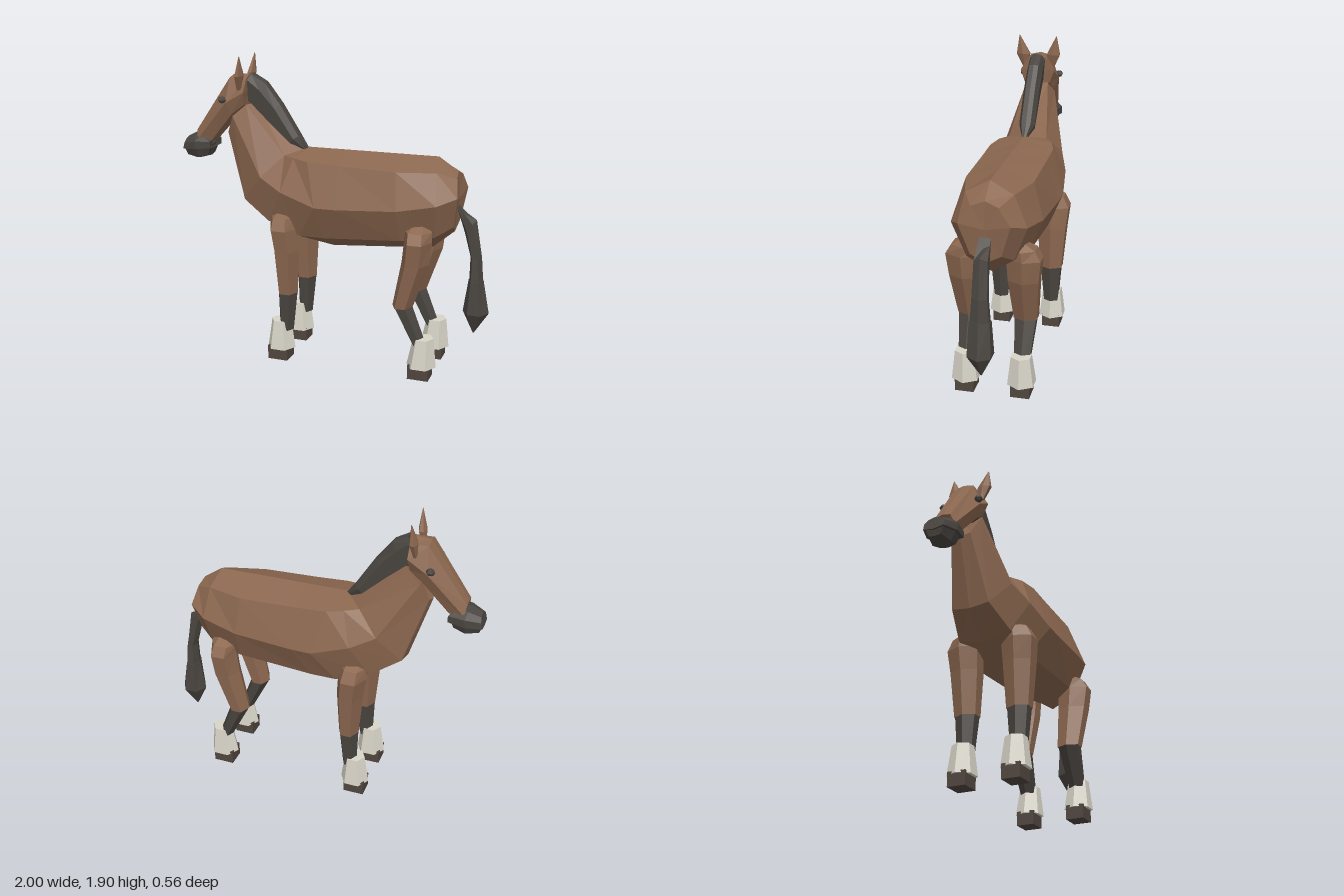
import * as THREE from 'three';

const mat = (color) => new THREE.MeshStandardMaterial({ color, flatShading: true });

// Skin a list of equal-length rings of [x, y, z] points, closing both ends.
function loft(rings) {
  const n = rings[0].length;
  const tris = [];
  const centre = (r) => [0, 1, 2].map((k) => r.reduce((s, p) => s + p[k], 0) / n);
  const first = centre(rings[0]);
  const last = centre(rings[rings.length - 1]);
  for (let j = 0; j < n; j++) {
    const k = (j + 1) % n;
    tris.push([first, rings[0][k], rings[0][j]]);
    tris.push([last, rings[rings.length - 1][j], rings[rings.length - 1][k]]);
    for (let i = 0; i + 1 < rings.length; i++) {
      const a = rings[i], b = rings[i + 1];
      tris.push([a[j], a[k], b[k]], [a[j], b[k], b[j]]);
    }
  }
  // A negative volume means the faces point inwards, so turn them round.
  let volume = 0;
  for (const [a, b, c] of tris) {
    const [u, v, w] = [a, b, c].map((p) => new THREE.Vector3(...p).sub(new THREE.Vector3(...first)));
    volume += u.dot(v.cross(w));
  }
  if (volume < 0) tris.forEach((t) => t.reverse());
  const geo = new THREE.BufferGeometry();
  geo.setAttribute('position', new THREE.Float32BufferAttribute(tris.flat(2), 3));
  geo.computeVertexNormals();
  return geo;
}

// Half section (top, sides, bottom) mirrored in z to a full ring.
function mirrored(half) {
  const left = half.slice(1, -1).reverse().map(([x, y, z]) => [x, y, -z]);
  return [...half, ...left];
}

// Hexagonal ring: centre, half extents in x and z, slope of the ring plane along x.
function hex([x, y, z, rx, rz, slope = 0]) {
  return Array.from({ length: 6 }, (_, i) => {
    const a = (i * Math.PI) / 3;
    const dx = Math.cos(a) * rx;
    return [x + dx, y + dx * slope, z + (Math.sin(a) * rz) / 0.866];
  });
}

export function createModel() {
  const horse = new THREE.Group();
  horse.name = 'horse';
  const brown = mat(0x8b674f), dark = mat(0x4a4540), white = mat(0xd8d4c8), hoofMat = mat(0x51463f);
  const add = (name, geo, material, parent = horse) => {
    const mesh = new THREE.Mesh(geo, material);
    mesh.name = name;
    parent.add(mesh);
    return mesh;
  };

  // Neck and trunk, from the throat to the rump
  add('body', loft([
    [[-0.5, 1.61, 0], [-0.55, 1.6, 0.07], [-0.63, 1.53, 0.1], [-0.68, 1.42, 0.06], [-0.69, 1.4, 0]],
    [[-0.18, 1.34, 0], [-0.28, 1.31, 0.12], [-0.41, 1.18, 0.2], [-0.55, 1.01, 0.12], [-0.56, 0.99, 0]],
    [[-0.16, 1.35, 0], [-0.2, 1.31, 0.17], [-0.26, 1.11, 0.25], [-0.37, 0.9, 0.17], [-0.37, 0.85, 0]],
    [[-0.08, 1.35, 0], [-0.1, 1.3, 0.2], [-0.03, 1.04, 0.28], [-0.16, 0.83, 0.19], [-0.16, 0.76, 0]],
    [[0.1, 1.35, 0], [0.1, 1.29, 0.2], [0.1, 1.04, 0.277], [0, 0.83, 0.19], [0, 0.73, 0]],
    [[0.45, 1.35, 0], [0.45, 1.28, 0.2], [0.47, 1.06, 0.26], [0.48, 0.86, 0.18], [0.49, 0.77, 0]],
    [[0.66, 1.35, 0], [0.68, 1.28, 0.14], [0.7, 1.1, 0.22], [0.68, 0.89, 0.14], [0.64, 0.79, 0]],
    [[0.78, 1.27, 0], [0.79, 1.24, 0.08], [0.81, 1.14, 0.15], [0.78, 0.95, 0.09], [0.77, 0.9, 0]],
  ].map(mirrored)), brown);

  // Head, tapering down to the muzzle
  add('head', loft([
    [[-0.55, 1.785, 0], [-0.55, 1.76, 0.06], [-0.55, 1.68, 0.11], [-0.56, 1.6, 0.08], [-0.56, 1.58, 0]],
    [[-0.66, 1.775, 0], [-0.66, 1.76, 0.065], [-0.67, 1.61, 0.12], [-0.64, 1.54, 0.09], [-0.64, 1.52, 0]],
    [[-0.9, 1.43, 0], [-0.9, 1.42, 0.05], [-0.89, 1.36, 0.075], [-0.8, 1.355, 0.06], [-0.8, 1.35, 0]],
  ].map(mirrored)), brown);

  // Upper and lower lips
  add('upperLip', loft([
    [[-0.86, 1.4, 0], [-0.86, 1.39, 0.06], [-0.8, 1.35, 0.085], [-0.8, 1.31, 0.085], [-0.81, 1.3, 0]],
    [[-0.92, 1.4, 0], [-0.91, 1.385, 0.06], [-0.9, 1.35, 0.1], [-0.9, 1.3, 0.1], [-0.9, 1.29, 0]],
    [[-0.985, 1.365, 0], [-0.985, 1.355, 0.04], [-0.99, 1.33, 0.065], [-1, 1.29, 0.065], [-1, 1.28, 0]],
  ].map(mirrored)), dark);
  add('lowerLip', loft([
    [[-0.81, 1.33, 0], [-0.81, 1.32, 0.07], [-0.83, 1.26, 0.05], [-0.83, 1.25, 0]],
    [[-0.9, 1.31, 0], [-0.9, 1.3, 0.085], [-0.9, 1.24, 0.06], [-0.9, 1.23, 0]],
    [[-0.99, 1.3, 0], [-0.99, 1.29, 0.055], [-0.98, 1.25, 0.04], [-0.98, 1.245, 0]],
  ].map(mirrored)), dark);

  // Mane along the crest of the neck
  add('mane', loft([
    [[-0.53, 1.79, 0], [-0.53, 1.785, 0.03], [-0.55, 1.75, 0.05], [-0.55, 1.62, 0.04], [-0.55, 1.6, 0]],
    [[-0.44, 1.74, 0], [-0.44, 1.735, 0.03], [-0.47, 1.69, 0.05], [-0.51, 1.58, 0.04], [-0.51, 1.56, 0]],
    [[-0.34, 1.61, 0], [-0.34, 1.605, 0.03], [-0.37, 1.58, 0.05], [-0.42, 1.48, 0.04], [-0.42, 1.46, 0]],
    [[-0.22, 1.42, 0], [-0.22, 1.415, 0.03], [-0.25, 1.4, 0.05], [-0.3, 1.33, 0.04], [-0.3, 1.32, 0]],
    [[-0.165, 1.345, 0], [-0.165, 1.34, 0.01], [-0.18, 1.33, 0.015], [-0.22, 1.3, 0.01], [-0.22, 1.29, 0]],
  ].map(mirrored)), dark);

  // Tail, flaring into a pointed tuft
  add('tail', loft([
    [0.8, 1.04, 0, 0.025, 0.035, -1.2], [0.865, 0.94, 0, 0.035, 0.04, 1.2], [0.905, 0.75, 0, 0.035, 0.045],
    [0.91, 0.61, 0, 0.042, 0.055],
  ].map(hex)), dark);
  add('tailTuft', loft([
    [0.91, 0.61, 0, 0.045, 0.06], [0.915, 0.4, 0, 0.08, 0.07], [0.905, 0.265, 0, 0.004, 0.004],
  ].map(hex)), dark);

  // Shoulder-to-knee, shin, sock and hoof measurements for each pair of legs
  const legs = {
    front: {
      upper: [[-0.265, 0.98, 0.14, 0.05, 0.03], [-0.27, 0.94, 0.17, 0.08, 0.075],
        [-0.265, 0.87, 0.18, 0.09, 0.1], [-0.25, 0.73, 0.175, 0.085, 0.09], [-0.245, 0.45, 0.17, 0.065, 0.07]],
      shin: [[-0.245, 0.46, 0.17, 0.064, 0.065], [-0.255, 0.2, 0.17, 0.045, 0.045]],
      sock: [[-0.29, 0.26, 0.17, 0.065, 0.057], [-0.292, 0.075, 0.17, 0.092, 0.078]],
      hoofX: -0.3,
    },
    hind: {
      upper: [[0.59, 0.975, 0.14, 0.04, 0.03], [0.585, 0.93, 0.17, 0.085, 0.075],
        [0.59, 0.87, 0.18, 0.085, 0.1], [0.575, 0.73, 0.175, 0.085, 0.09], [0.5, 0.45, 0.17, 0.063, 0.07]],
      shin: [[0.5, 0.455, 0.17, 0.062, 0.065], [0.61, 0.21, 0.17, 0.045, 0.045]],
      sock: [[0.635, 0.26, 0.17, 0.063, 0.057], [0.625, 0.075, 0.17, 0.092, 0.078]],
      hoofX: 0.617,
    },
  };

  for (const [side, s] of [['left', 1], ['right', -1]]) {
    const rings = (list) => loft(list.map(([x, y, z, ...rest]) => hex([x, y, z * s, ...rest])));
    for (const [pair, leg] of Object.entries(legs)) {
      const group = new THREE.Group();
      group.name = `${pair}Leg_${side}`;
      horse.add(group);
      add('upperLeg', rings(leg.upper), brown, group);
      add('shin', rings(leg.shin), dark, group);
      add('sock', rings(leg.sock), white, group);
      add('hoof', new THREE.BoxGeometry(0.13, 0.09, 0.115), hoofMat, group).position.set(leg.hoofX, 0.045, 0.17 * s);
    }

    // Pointed ear, widest a little above its root
    const ear = [[-0.59, 1.69, 0.085, 0.015, 0.015], [-0.58, 1.78, 0.098, 0.026, 0.042], [-0.568, 1.9, 0.12, 0.002, 0.002]];
    add(`ear_${side}`, rings(ear), brown);

    // Eye
    const eye = add(`eye_${side}`, new THREE.SphereGeometry(1, 6, 4), dark);
    eye.scale.set(0.028, 0.022, 0.025);
    eye.position.set(-0.69, 1.63, 0.118 * s);
  }
  return horse;
}
